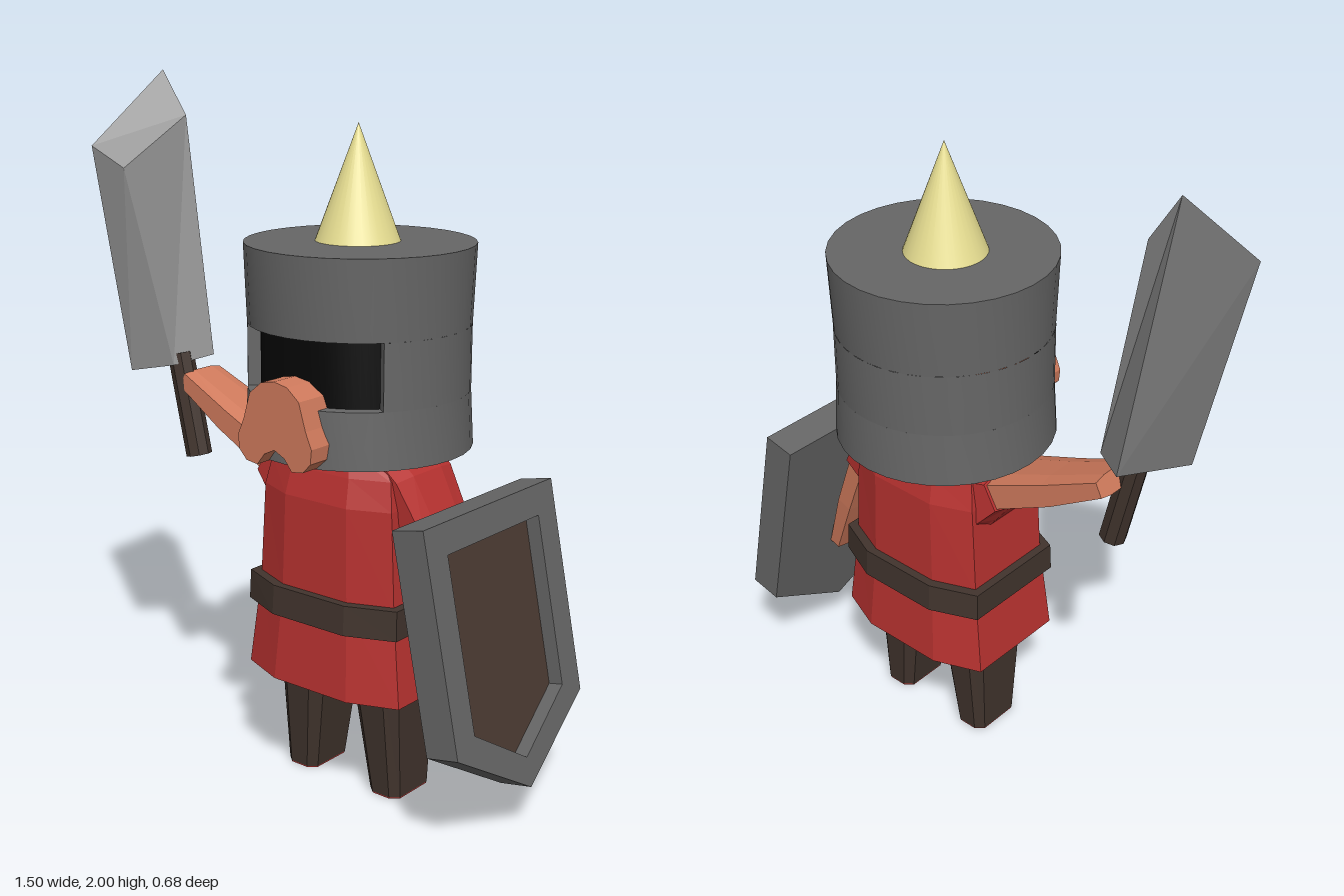
import * as THREE from 'three';
import { toCreasedNormals } from 'three/addons/utils/BufferGeometryUtils.js';

const CX = 0.147, CZ = -0.02; // body axis

const mat = (color, flatShading = true, side = THREE.FrontSide) =>
  new THREE.MeshStandardMaterial({ color, flatShading, side });
const red = mat(0xb83230), skin = mat(0xcf7a5c), brown = mat(0x41342d), wood = mat(0x4a3a32),
  iron = mat(0x666666), steel = mat(0x808080), helm = mat(0x666666, false, THREE.DoubleSide),
  black = mat(0x060606, false, THREE.DoubleSide), horn = mat(0xe8df92, false);

// Skin a closed solid over equal-sized loops of [x, y, z] points.
function loft(loops) {
  const pos = [], n = loops[0].length, last = loops.length - 1;
  const tri = (a, b, c) => pos.push(...a, ...b, ...c);
  for (let s = 0; s < last; s++) for (let i = 0; i < n; i++) {
    const j = (i + 1) % n, [p, q] = [loops[s], loops[s + 1]];
    tri(p[i], p[j], q[j]);
    tri(p[i], q[j], q[i]);
  }
  for (let i = 1; i < n - 1; i++) {
    tri(loops[0][0], loops[0][i + 1], loops[0][i]);
    tri(loops[last][0], loops[last][i], loops[last][i + 1]);
  }
  // Turn the faces outward if the loops ran the other way.
  let volume = 0;
  const v = k => new THREE.Vector3().fromArray(pos, k);
  for (let k = 0; k < pos.length; k += 9) volume += v(k).dot(v(k + 3).cross(v(k + 6)));
  if (volume < 0) for (let k = 0; k < pos.length; k += 9) for (let c = 0; c < 3; c++)
    [pos[k + 3 + c], pos[k + 6 + c]] = [pos[k + 6 + c], pos[k + 3 + c]];
  const g = new THREE.BufferGeometry();
  g.setAttribute('position', new THREE.Float32BufferAttribute(pos, 3));
  g.computeVertexNormals();
  return g;
}

// Octagonal outline with half sizes a, b; fa and fb set the length of its flats.
const ring = (a, b, fa, fb) => [[a, b * fb], [a * fa, b], [-a * fa, b], [-a, b * fb],
  [-a, -b * fb], [-a * fa, -b], [a * fa, -b], [a, -b * fb]];

// Upright solid from stations [y, cx, cz, halfX, halfZ].
const column = (stations, fa, fb) => loft(stations.map(([y, cx, cz, a, b]) =>
  ring(a, b, fa, fb).map(([u, w]) => [cx + u, y, cz + w])));

// Arm lying in the xy plane from stations [x, y, halfThickness, halfWidthZ].
function limb(stations) {
  const [x0, y0] = stations[0], [x1, y1] = stations.at(-1);
  const len = Math.hypot(x1 - x0, y1 - y0), nx = -(y1 - y0) / len, ny = (x1 - x0) / len;
  return loft(stations.map(([x, y, t, w]) =>
    ring(t, w, 0.75, 0.5).map(([u, z]) => [x + nx * u, y + ny * u, CZ - 0.005 + z])));
}

function shieldOutline(w, top, side, tip, Type) {
  return new Type([[-w, -top], [-w, -side], [0, -tip], [w, -side], [w, -top]]
    .map(p => new THREE.Vector2(...p)));
}

export function createModel() {
  const model = new THREE.Group();
  const add = (name, geometry, material, parent = model) => {
    const m = new THREE.Mesh(geometry, material);
    m.name = name;
    parent.add(m);
    return m;
  };

  // Legs with soles, joined by the hips
  for (const [side, s] of [['left', 1], ['right', -1]]) {
    add(side + 'Leg', column([[0.004, CX + s * 0.153, -0.025, 0.054, 0.085],
      [0.40, CX + s * 0.13, -0.02, 0.086, 0.118]], 0.55, 0.75), brown);
    add(side + 'Sole', column([[0, CX + s * 0.153, -0.025, 0.053, 0.084],
      [0.004, CX + s * 0.153, -0.025, 0.053, 0.084]], 0.55, 0.75), red);
  }
  add('hips', new THREE.BoxGeometry(0.22, 0.12, 0.18), brown).position.set(CX, 0.36, CZ);

  // Tunic and belt
  add('tunic', column([[0.33, CX, CZ, 0.272, 0.215], [0.6, CX, CZ, 0.24, 0.195],
    [0.88, CX, CZ, 0.225, 0.19], [0.96, CX, CZ, 0.21, 0.17], [1.03, CX, CZ, 0.16, 0.145]], 0.48, 0.74), red);
  add('belt', column([[0.53, CX, CZ, 0.266, 0.225], [0.615, CX, CZ, 0.264, 0.22]], 0.48, 0.74), brown);

  // Arms and sleeves
  add('rightSleeve', limb([[0.03, 0.85, 0.13, 0.13], [-0.06, 0.9, 0.085, 0.12], [-0.12, 0.935, 0.055, 0.11]]), red);
  add('rightArm', limb([[-0.09, 0.92, 0.05, 0.103], [-0.3, 1.015, 0.043, 0.088], [-0.47, 1.105, 0.03, 0.075]]), skin);
  add('leftSleeve', limb([[0.27, 0.99, 0.06, 0.13], [0.335, 0.93, 0.06, 0.125], [0.432, 0.785, 0.043, 0.108]]), red);
  add('leftArm', limb([[0.42, 0.81, 0.036, 0.1], [0.5, 0.61, 0.034, 0.09], [0.577, 0.41, 0.024, 0.07]]), skin);

  // Helmet: bands below and above the eye slot, a wall around it, dark inside
  const helmet = new THREE.Group();
  helmet.name = 'helmet';
  helmet.position.set(CX, 0, CZ);
  model.add(helmet);
  const slot = 0.9, y0 = 1.172, y1 = 1.355, inner = 0.272;
  const lathe = (pts, start = 0, length = Math.PI * 2) => toCreasedNormals(new THREE.LatheGeometry(
    pts.map(p => new THREE.Vector2(...p)), 32, start, length), 0.6);
  add('lowerBand', lathe([[0, 1.015], [0.318, 1.015], [0.309, y0], [inner, y0]]), helm, helmet);
  add('helmetWall', lathe([[0.309, y0], [0.309, y1]], slot, Math.PI * 2 - slot * 2), helm, helmet);
  add('upperBand', lathe([[inner, y1], [0.309, y1], [0.318, 1.575], [0, 1.575]]), helm, helmet);
  add('visorDark', lathe([[inner, y0], [inner, y1]], -1, 2), black, helmet);
  for (const s of [1, -1]) {
    const jamb = add('slotJamb', new THREE.BoxGeometry(0.014, y1 - y0, 0.038), iron, helmet);
    jamb.position.set(s * 0.289 * Math.sin(slot), (y0 + y1) / 2, 0.289 * Math.cos(slot));
    jamb.rotation.y = s * slot;
  }
  add('spike', new THREE.ConeGeometry(0.117, 0.315, 32), horn).position.set(0.137, 1.7325, -0.022);

  // Nose with two nostril lobes
  const half = [[0.045, 1.238], [0.085, 1.205], [0.108, 1.13], [0.128, 1.085], [0.124, 1.045],
    [0.098, 1.018], [0.06, 1.013], [0.035, 1.045]];
  const outline = [[0, 1.247], ...half, [0, 1.062], ...half.map(([x, y]) => [-x, y]).reverse()];
  const nose = new THREE.ExtrudeGeometry(new THREE.Shape(outline.map(p => new THREE.Vector2(...p))),
    { depth: 0.115, bevelEnabled: false });
  add('nose', nose, skin).position.set(CX, 0, 0.223);

  // Shield: tilted rim with a sunken wooden panel
  const shield = new THREE.Group();
  shield.name = 'shield';
  shield.position.set(0.592, 0.92, CZ);
  shield.rotation.set(0, 0, 0.204);
  model.add(shield);
  const slab = (name, shape, depth, x, material) => {
    const m = add(name, new THREE.ExtrudeGeometry(shape, { depth, bevelEnabled: false }), material, shield);
    m.rotation.y = Math.PI / 2;
    m.position.x = x;
  };
  const body = () => shieldOutline(0.3, 0, 0.61, 0.79, THREE.Shape);
  const rim = body();
  rim.holes.push(shieldOutline(0.214, 0.085, 0.57, 0.705, THREE.Path));
  slab('shieldRim', rim, 0.045, -0.045, iron);
  slab('shieldBack', body(), 0.055, -0.1, iron);
  slab('shieldPanel', shieldOutline(0.214, 0.085, 0.57, 0.705, THREE.Shape), 0.01, -0.053, wood);

  // Sword: four-sided blade with a slanted end, and its grip
  add('swordBlade', loft([
    [[-0.602, 1.13, 0.13], [-0.49, 1.15, 0.065], [-0.425, 1.175, -0.04], [-0.51, 1.157, -0.08]],
    [[-0.752, 1.785, 0.123], [-0.643, 1.725, 0.1], [-0.58, 1.87, -0.1], [-0.657, 2.0, -0.085]],
  ]), steel);
  const a = new THREE.Vector3(-0.435, 0.875, 0.02), b = new THREE.Vector3(-0.505, 1.18, 0.02);
  const grip = add('swordGrip', new THREE.CylinderGeometry(0.039, 0.039, a.distanceTo(b), 8), brown);
  grip.position.copy(a).lerp(b, 0.5);
  grip.quaternion.setFromUnitVectors(new THREE.Vector3(0, 1, 0), b.clone().sub(a).normalize());

  return model;
}
